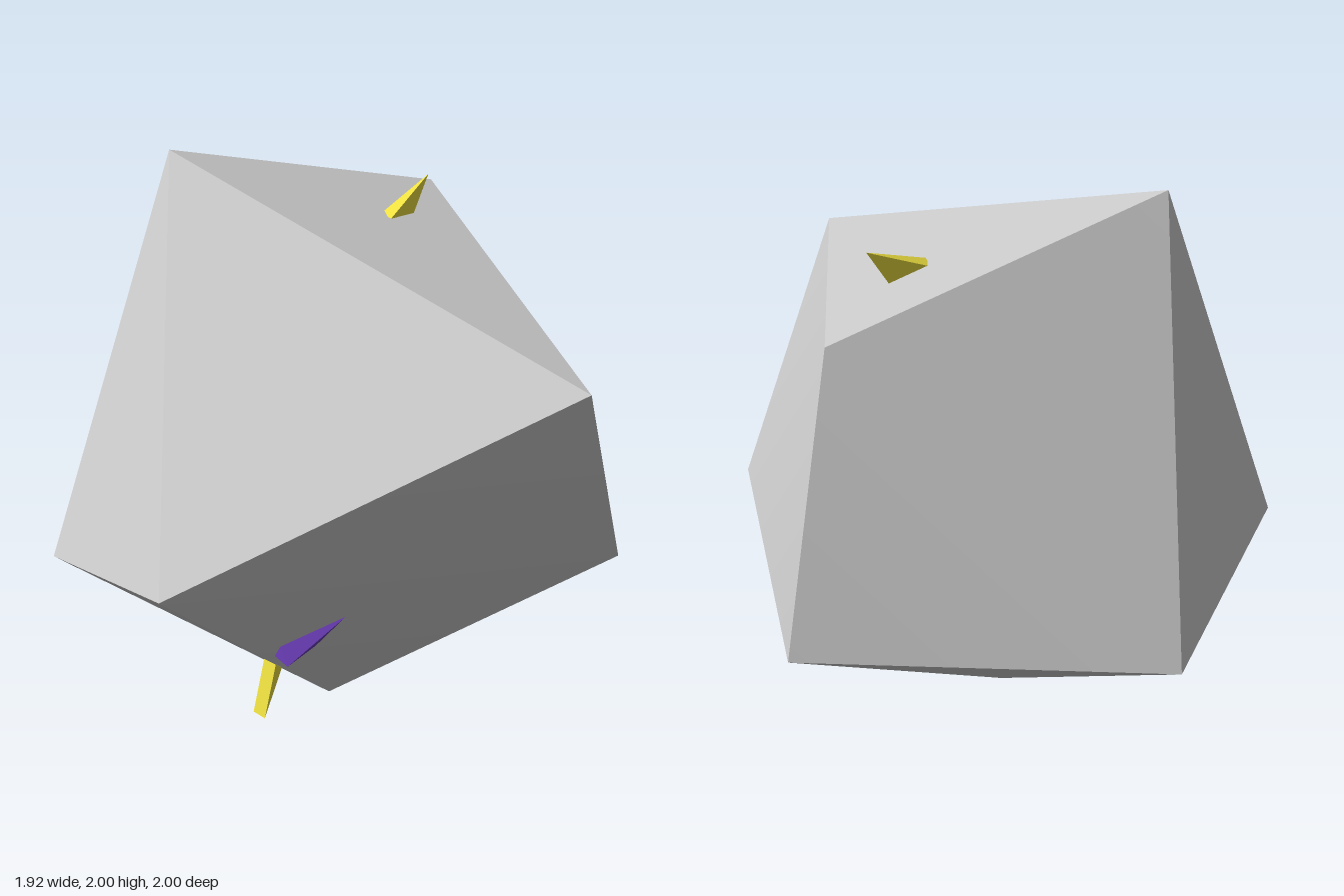
import * as THREE from 'three';
import { ConvexGeometry } from 'three/addons/geometries/ConvexGeometry.js';
import { toCreasedNormals } from 'three/addons/utils/BufferGeometryUtils.js';

// Faceted solid spanned by a handful of corner points
function facetedSolid(name, color, corners, crease = 0.1) {
  const hull = new ConvexGeometry(corners.map((c) => new THREE.Vector3(...c)));
  const mesh = new THREE.Mesh(
    toCreasedNormals(hull, crease),
    new THREE.MeshStandardMaterial({ color })
  );
  mesh.name = name;
  return mesh;
}

export function createModel() {
  const model = new THREE.Group();
  model.name = 'facetedStone';

  // Main body: nine corners, shallow folds shaded smoothly
  model.add(facetedSolid('body', 0xcccccc, [
    [-0.45, 2.0, 0.2],
    [0.96, 1.54, -0.03],
    [-0.19, 1.74, -0.79],
    [0.32, 1.09, 1.0],
    [-0.54, 0.73, 0.73],
    [-0.96, 0.77, -0.16],
    [-0.18, 0.77, -1.0],
    [0.85, 0.73, -0.53],
    [0.01, 0.0, -0.03],
  ], 0.6));

  // Spike on the top face, leaning backwards
  model.add(facetedSolid('topSpike', 0xeee040, [
    [0.01, 1.86, -0.51],
    [-0.02, 1.77, -0.31],
    [0.04, 1.77, -0.285],
    [0.01, 1.745, -0.44],
  ]));

  // Wedge hanging from the lower front: a triangular section spanned across x
  const section = [[0.115, 0.335], [0.315, 0.275], [0.285, 0.245]];
  model.add(facetedSolid('lowerWedge', 0xeee040,
    [-0.02, 0.035].flatMap((x) => section.map(([y, z]) => [x, y, z]))));

  // Spike on the front left face, pointing up and outwards
  model.add(facetedSolid('sideSpike', 0x7040c0, [
    [0.39, 0.715, 0.32],
    [0.22, 0.58, 0.44],
    [0.195, 0.53, 0.44],
    [0.25, 0.515, 0.44],
    [0.265, 0.54, 0.325],
  ]));

  return model;
}
